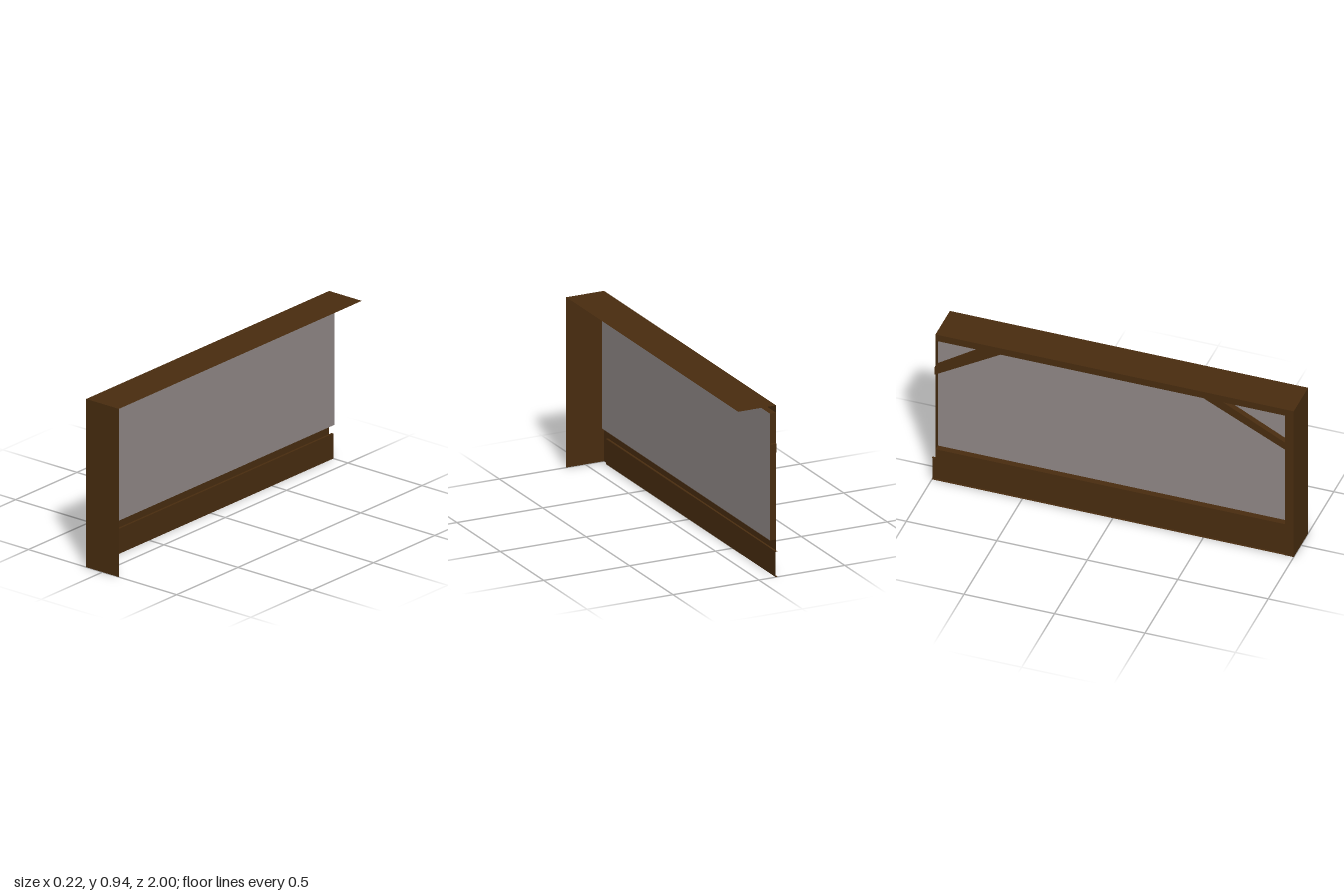
import * as THREE from 'three';

export function createModel() {
  const model = new THREE.Group();
  model.name = 'wallSection';

  const wood = new THREE.MeshStandardMaterial({ color: 0x482c0f, side: THREE.DoubleSide });
  wood.name = 'darkWood';
  const plaster = new THREE.MeshStandardMaterial({ color: 0x8f8786, side: THREE.DoubleSide });
  plaster.name = 'greyPlaster';

  const OUT = -0.11, IN = -0.075, BOARD = -0.098; // x of outer face, infill and skirting
  const FRONT = 1, POST = 0.953, BACK = -0.98;    // z stations
  const TOP = 0.94, HEAD = 0.9, SILL = 0.2, SKIRT = 0.14;

  function add(name, geometry, material = wood) {
    const mesh = new THREE.Mesh(geometry, material);
    mesh.name = name;
    model.add(mesh);
  }

  // Flat sheets, each facing along one axis
  function sheetX(name, x, z0, z1, y0, y1, material) {
    const g = new THREE.PlaneGeometry(Math.abs(z1 - z0), y1 - y0).rotateY(-Math.PI / 2);
    add(name, g.translate(x, (y0 + y1) / 2, (z0 + z1) / 2), material);
  }
  function sheetY(name, y, x0, x1, z0, z1) {
    const g = new THREE.PlaneGeometry(x1 - x0, Math.abs(z1 - z0)).rotateX(-Math.PI / 2);
    add(name, g.translate((x0 + x1) / 2, y, (z0 + z1) / 2));
  }
  function sheetZ(name, z, x0, x1, y0, y1) {
    const g = new THREE.PlaneGeometry(x1 - x0, y1 - y0);
    add(name, g.translate((x0 + x1) / 2, (y0 + y1) / 2, z));
  }
  // Outline given as [z, y] pairs
  const outline = pts => new THREE.Shape(pts.map(([z, y]) => new THREE.Vector2(z, y)));

  // Thin top and front coverings
  sheetY('topPlate', TOP, OUT, -OUT, BACK, FRONT);
  sheetZ('frontPlate', FRONT, OUT, -OUT, 0, TOP);

  // Outer timber face: post, head beam and rail
  const face = outline([
    [FRONT, 0], [FRONT, TOP], [BACK, TOP], [BACK, HEAD], [POST, HEAD],
    [POST, SILL], [BACK, SILL], [BACK, SKIRT], [POST, SKIRT], [POST, 0],
  ]);
  add('timberFace', new THREE.ShapeGeometry(face).rotateY(-Math.PI / 2).translate(OUT, 0, 0));

  // Recessed infill with its surrounding reveals
  sheetX('infillPanel', IN, BACK, POST, SILL, HEAD, plaster);
  sheetY('headReveal', HEAD, OUT, IN, BACK, POST);
  sheetY('sillReveal', SILL, OUT, IN, BACK, POST);
  sheetZ('frontReveal', POST, OUT, IN, SILL, HEAD);
  sheetZ('backReveal', BACK, OUT, IN, SILL, HEAD);

  // Slightly recessed skirting board with its edges
  sheetX('skirtingBoard', BOARD, -1, POST, 0, SKIRT);
  sheetY('skirtingTop', SKIRT, OUT, BOARD, -1, POST);
  sheetY('skirtingBottom', 0.001, OUT, BOARD, -1, POST);
  sheetZ('skirtingEnd', POST, OUT, BOARD, 0, SKIRT);

  // Diagonal corner braces
  const braces = {
    frontBrace: [[POST, 0.68], [POST, 0.725], [0.61, HEAD], [0.5, HEAD]],
    backBrace: [[-0.984, 0.68], [-0.984, 0.73], [-0.73, HEAD], [-0.62, HEAD]],
  };
  for (const [name, pts] of Object.entries(braces)) {
    const g = new THREE.ExtrudeGeometry(outline(pts), { depth: IN - OUT - 0.002, bevelEnabled: false });
    add(name, g.rotateY(-Math.PI / 2).translate(IN - 0.002, 0, 0));
  }

  return model;
}
